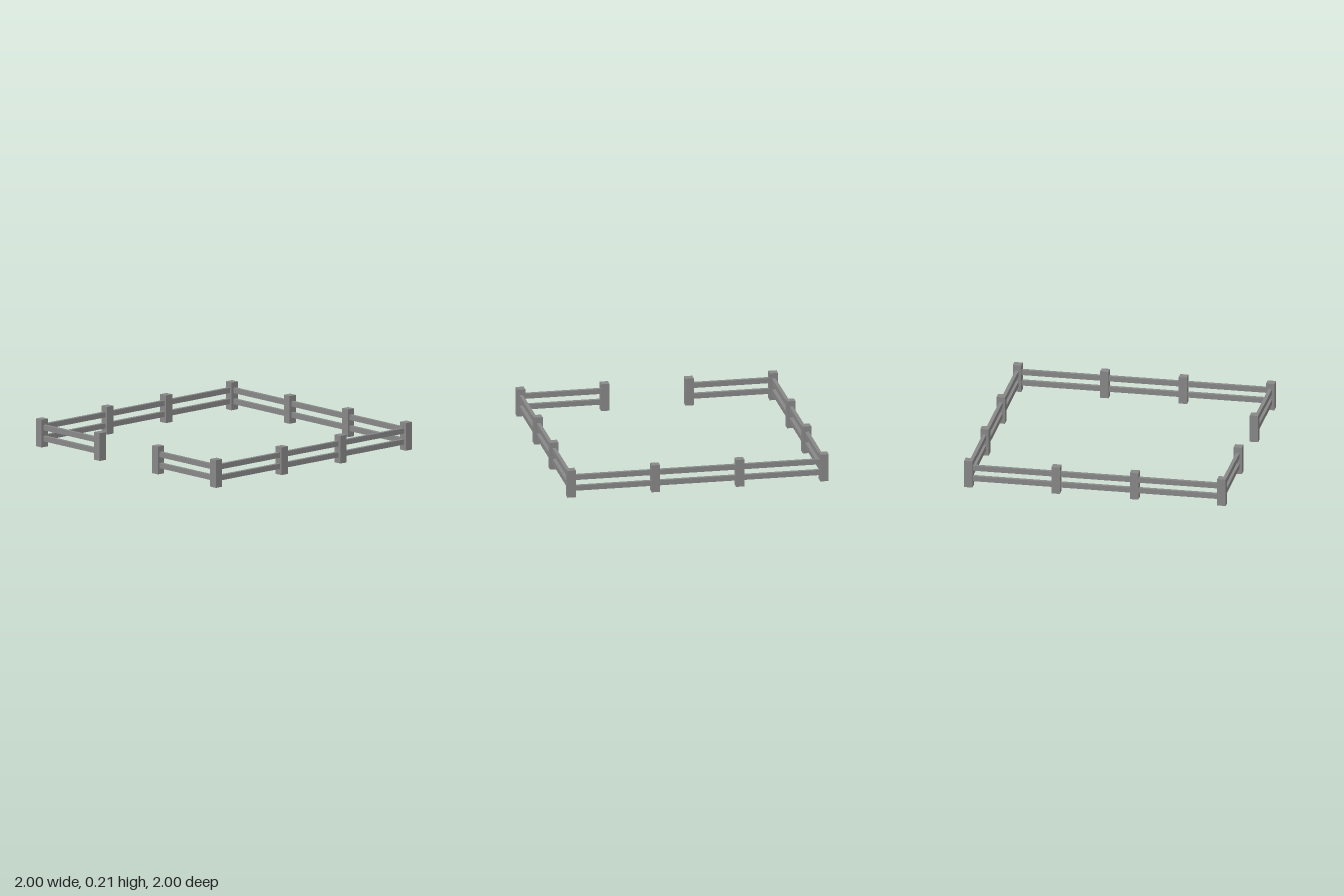
import * as THREE from 'three';

const POST_W = 0.064, POST_H = 0.213;
const RAIL_H = 0.04, RAIL_T = 0.027;
const RAIL_Y = [0.065, 0.15];
const EDGE = 0.968, POST_X = 0.323, POST_Z = 0.3;

// Box without its underside (the fourth of six faces, six indices each)
function openBottomBox(w, h, d) {
  const geometry = new THREE.BoxGeometry(w, h, d);
  geometry.setIndex([...geometry.index.array].filter((_, i) => i < 18 || i >= 24));
  geometry.clearGroups();
  return geometry;
}

export function createModel() {
  const group = new THREE.Group();
  group.name = 'fence';
  const material = new THREE.MeshStandardMaterial({
    color: 0x888888, flatShading: true, side: THREE.DoubleSide,
  });
  const postGeometry = openBottomBox(POST_W, POST_H, POST_W);

  const addPost = (x, z, name) => {
    const post = new THREE.Mesh(postGeometry, material);
    post.name = name;
    post.position.set(x, POST_H / 2, z);
    group.add(post);
  };

  // Pair of rails spanning one bay between two post centres
  const addBay = ([x0, z0], [x1, z1], name) => {
    const length = Math.hypot(x1 - x0, z1 - z0);
    const geometry = new THREE.BoxGeometry(length, RAIL_H, RAIL_T);
    RAIL_Y.forEach((y, i) => {
      const rail = new THREE.Mesh(geometry, material);
      rail.name = name + (i ? 'UpperRail' : 'LowerRail');
      rail.position.set((x0 + x1) / 2, y, (z0 + z1) / 2);
      rail.rotation.y = -Math.atan2(z1 - z0, x1 - x0);
      group.add(rail);
    });
  };

  // Post centres in order around the yard, from one gate post to the other
  const posts = [
    [POST_X, EDGE], [EDGE, EDGE], [EDGE, POST_Z], [EDGE, -POST_Z], [EDGE, -EDGE], [POST_X, -EDGE],
  ];
  const path = [...posts, ...posts.map(([x, z]) => [-x, z]).reverse()];

  path.forEach(([x, z], i) => {
    const isGate = i === 0 || i === path.length - 1;
    const isCorner = Math.abs(x) === EDGE && Math.abs(z) === EDGE;
    addPost(x, z, isGate ? 'gatePost' : isCorner ? 'cornerPost' : 'post');
    // The front opening stays free: no bay closes the loop
    if (i > 0) addBay(path[i - 1], path[i], 'bay' + i);
  });

  return group;
}
